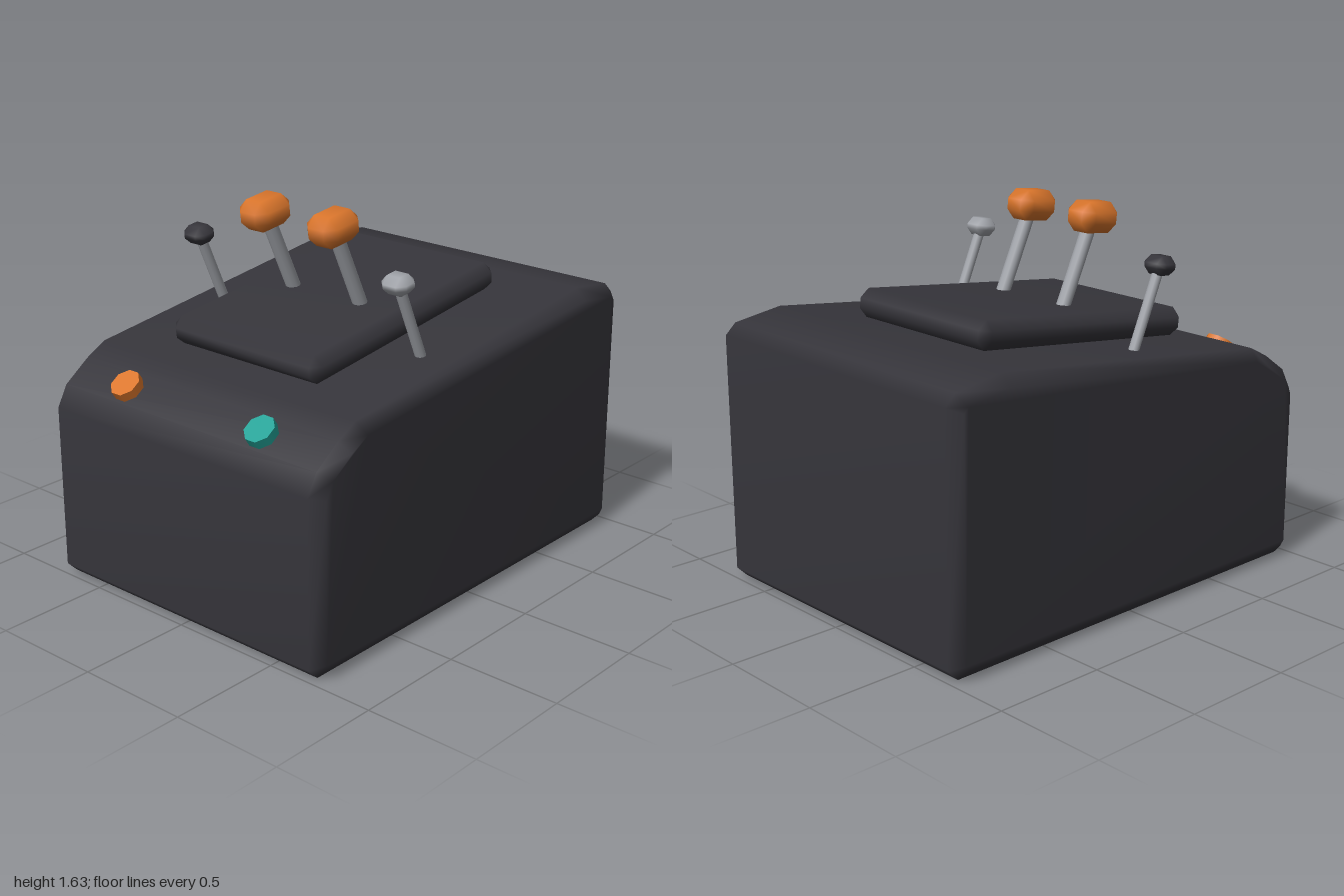
import * as THREE from 'three';
import { mergeVertices } from 'three/addons/utils/BufferGeometryUtils.js';
import { ConvexGeometry } from 'three/addons/geometries/ConvexGeometry.js';

const TILT = Math.atan(0.1215); // slope of the console top

const flat = (name, color) => {
  const m = new THREE.MeshStandardMaterial({ color });
  m.name = name;
  return m;
};

// Area-weighted smooth normals: large faces stay flat, bevels blend softly
function soften(geometry) {
  geometry.deleteAttribute('uv');
  geometry.deleteAttribute('normal');
  const g = mergeVertices(geometry, 1e-4);
  g.computeVertexNormals();
  return g;
}

// Box with one-segment bevels, given half sizes and bevel width
function bevelBox(hx, hy, hz, b) {
  const points = [];
  for (const sx of [-1, 1]) for (const sy of [-1, 1]) for (const sz of [-1, 1]) {
    points.push(
      new THREE.Vector3(sx * hx, sy * (hy - b), sz * (hz - b)),
      new THREE.Vector3(sx * (hx - b), sy * hy, sz * (hz - b)),
      new THREE.Vector3(sx * (hx - b), sy * (hy - b), sz * hz));
  }
  return soften(new ConvexGeometry(points));
}

// Console body: side profile (z, y) extruded across the width
function bodyGeometry() {
  const profile = [
    [1, 0.05], [1, 0.77], [0.95, 0.86], [0.83, 0.945], [0.73, 0.997],
    [-0.72, 1.175], [-0.95, 1.142], [-1, 1.095], [-1, 0.05], [-0.95, 0], [0.95, 0],
  ].map(([z, y]) => new THREE.Vector2(z, y));
  const g = new THREE.ExtrudeGeometry(new THREE.Shape(profile), {
    depth: 1.4, bevelSize: 0.05, bevelThickness: 0.05, bevelOffset: -0.05, bevelSegments: 1,
  });
  g.translate(0, 0, -0.7);
  g.rotateY(-Math.PI / 2);
  return soften(g);
}

export function createModel() {
  const model = new THREE.Group();
  model.name = 'controlConsole';
  const dark = flat('charcoal', 0x36353b);
  const metal = flat('metal grey', 0xa0a3a9);
  const orange = flat('orange', 0xdb762c);
  const teal = flat('teal', 0x22a196);

  const add = (parent, name, geometry, material, x = 0, y = 0, z = 0, tilt = 0) => {
    const mesh = new THREE.Mesh(geometry, material);
    mesh.name = name;
    mesh.position.set(x, y, z);
    mesh.rotation.x = tilt;
    parent.add(mesh);
    return mesh;
  };

  add(model, 'body', bodyGeometry(), dark);
  add(model, 'topPanel', bevelBox(0.41, 0.062, 0.588, 0.04), dark, 0, 1.147, 0.04, TILT);

  // Lever: a leaning rod from the console up into its knob
  function lever(name, x, base, top, radius, knob, material) {
    const group = new THREE.Group();
    group.name = name;
    const [z0, y0] = base, [z1, y1] = top;
    const rod = new THREE.CylinderGeometry(radius, radius, Math.hypot(z1 - z0, y1 - y0), 10);
    add(group, 'rod', rod, metal, x, (y0 + y1) / 2, (z0 + z1) / 2, Math.atan2(z1 - z0, y1 - y0));
    add(group, 'knob', bevelBox(...knob), material, x, y1, z1, TILT);
    model.add(group);
  }

  const bigKnob = [0.082, 0.066, 0.104, 0.042];
  const smallKnob = [0.062, 0.04, 0.056, 0.03];
  for (const [side, s] of [['left', 1], ['right', -1]]) {
    lever(side + 'MainLever', s * 0.187, [0.086, 1.16], [0.272, 1.557], 0.031, bigKnob, orange);
    lever(side + 'SmallLever', s * 0.55, [0.152, 1.06], [0.302, 1.402], 0.023, smallKnob,
      s > 0 ? metal : dark);

    // Octagonal push button on the sloping front edge
    const button = new THREE.CylinderGeometry(0.067, 0.067, 0.05, 8);
    button.rotateY(Math.PI / 8);
    add(model, side + 'Button', button.toNonIndexed(), s > 0 ? teal : orange,
      s * 0.376, 0.916, 0.898, 0.6);
  }

  return model;
}
